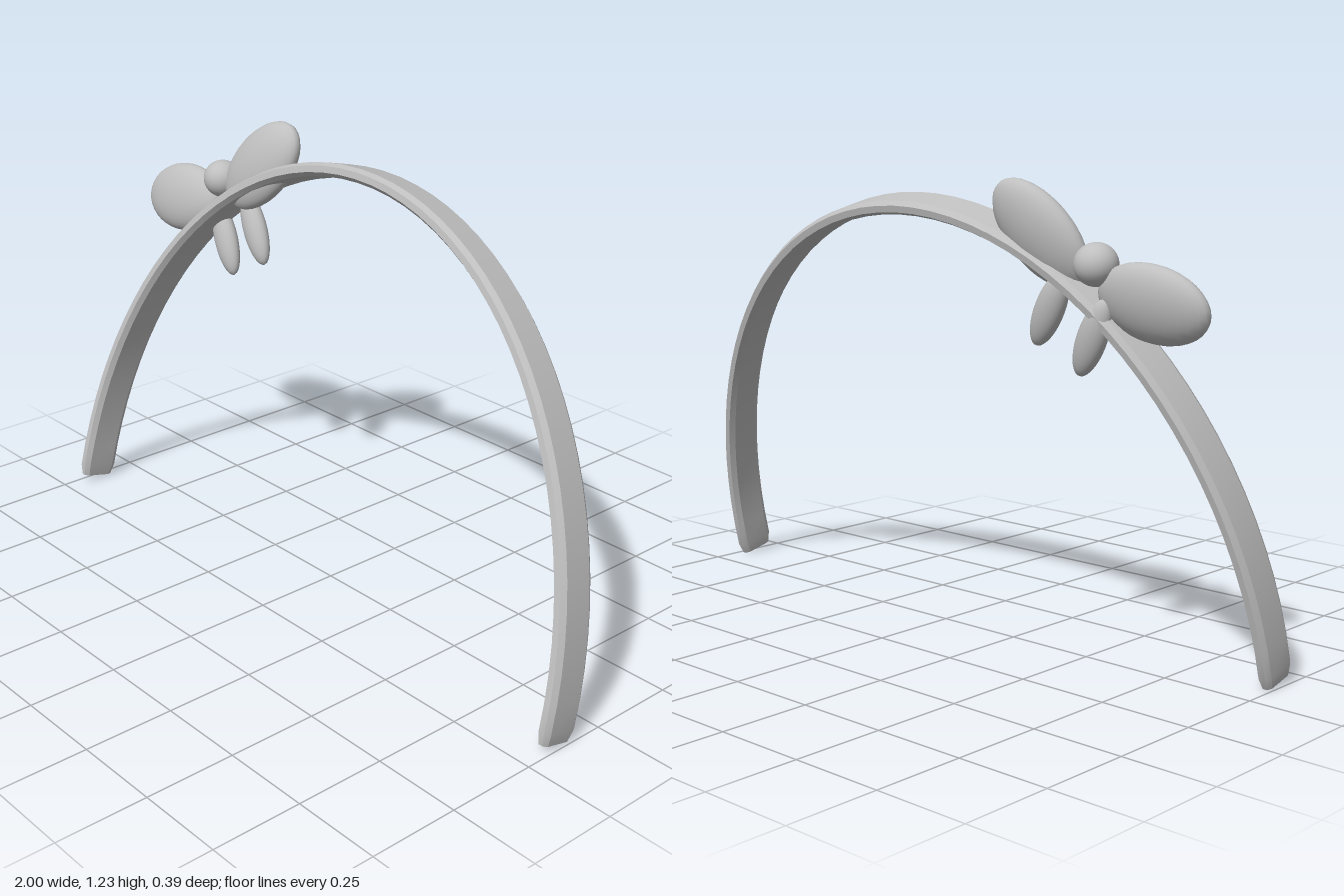
import * as THREE from 'three';
import { toCreasedNormals } from 'three/addons/utils/BufferGeometryUtils.js';

// Half-ellipse strap swept from a bevelled cross-section (outward offset, depth offset)
function bandGeometry() {
  const a = 0.981, b = 1.149, centreY = 0.05, steps = 48;
  const ring = [
    [0.019, -0.042], [0.019, 0.042], [0.009, 0.057], [-0.009, 0.057],
    [-0.019, 0.042], [-0.019, -0.042], [-0.009, -0.057], [0.009, -0.057],
  ];
  const n = ring.length, pos = [], index = [];
  const start = -0.026, end = Math.PI + 0.026;
  const angles = [start, start + 0.028];
  for (let i = 1; i < steps; i++) angles.push(start + 0.028 + (end - start - 0.056) * i / steps);
  angles.push(end - 0.028, end);
  angles.forEach((t, i) => {
    const tip = i === 0 || i === angles.length - 1;
    const normal = new THREE.Vector2(Math.cos(t) / a, Math.sin(t) / b).normalize();
    for (const [o, z] of ring) {
      const out = o * (tip ? 0.7 : 1);
      pos.push(a * Math.cos(t) + normal.x * out, centreY + b * Math.sin(t) + normal.y * out, z * (tip ? 0.85 : 1));
    }
  });
  const last = (angles.length - 1) * n;
  for (let i = 0; i < last; i += n) {
    for (let j = 0; j < n; j++) {
      const k = (j + 1) % n;
      index.push(i + j, i + n + j, i + k, i + k, i + n + j, i + n + k);
    }
  }
  // End caps
  for (let j = 1; j < n - 1; j++) index.push(0, j, j + 1, last, last + j + 1, last + j);
  const geo = new THREE.BufferGeometry();
  geo.setAttribute('position', new THREE.Float32BufferAttribute(pos, 3));
  geo.setIndex(index);
  return toCreasedNormals(geo, 0.4);
}

export function createModel() {
  const model = new THREE.Group();
  model.name = 'headband';
  const grey = new THREE.MeshStandardMaterial({ name: 'plain grey', color: 0xbfbfbf });

  // Everything leans back with the band
  const tilted = new THREE.Group();
  tilted.name = 'tiltedBand';
  tilted.rotation.x = -0.241;
  tilted.position.z = 0.147;
  model.add(tilted);

  const band = new THREE.Mesh(bandGeometry(), grey);
  band.name = 'band';
  tilted.add(band);

  // Bow made of stretched spheres
  const bow = new THREE.Group();
  bow.name = 'bow';
  tilted.add(bow);
  const sphere = new THREE.SphereGeometry(1, 28, 18);
  function blob(name, position, radii, angle, lean = 0) {
    const mesh = new THREE.Mesh(sphere, grey);
    mesh.name = name;
    mesh.position.set(...position);
    mesh.scale.set(...radii);
    mesh.rotation.set(lean, 0, angle);
    bow.add(mesh);
  }
  blob('bowKnot', [-0.6, 1.066, 0], [0.056, 0.054, 0.056], 0);
  blob('rightLoop', [-0.757, 0.977, 0], [0.16, 0.1, 0.05], 0.14);
  blob('leftLoop', [-0.437, 1.137, 0], [0.167, 0.1, 0.05], 0.8);
  blob('rightTail', [-0.588, 0.89, -0.04], [0.11, 0.041, 0.03], -1.1, 0.12);
  blob('leftTail', [-0.457, 0.952, -0.03], [0.11, 0.041, 0.03], -1.05, 0.12);
  return model;
}
